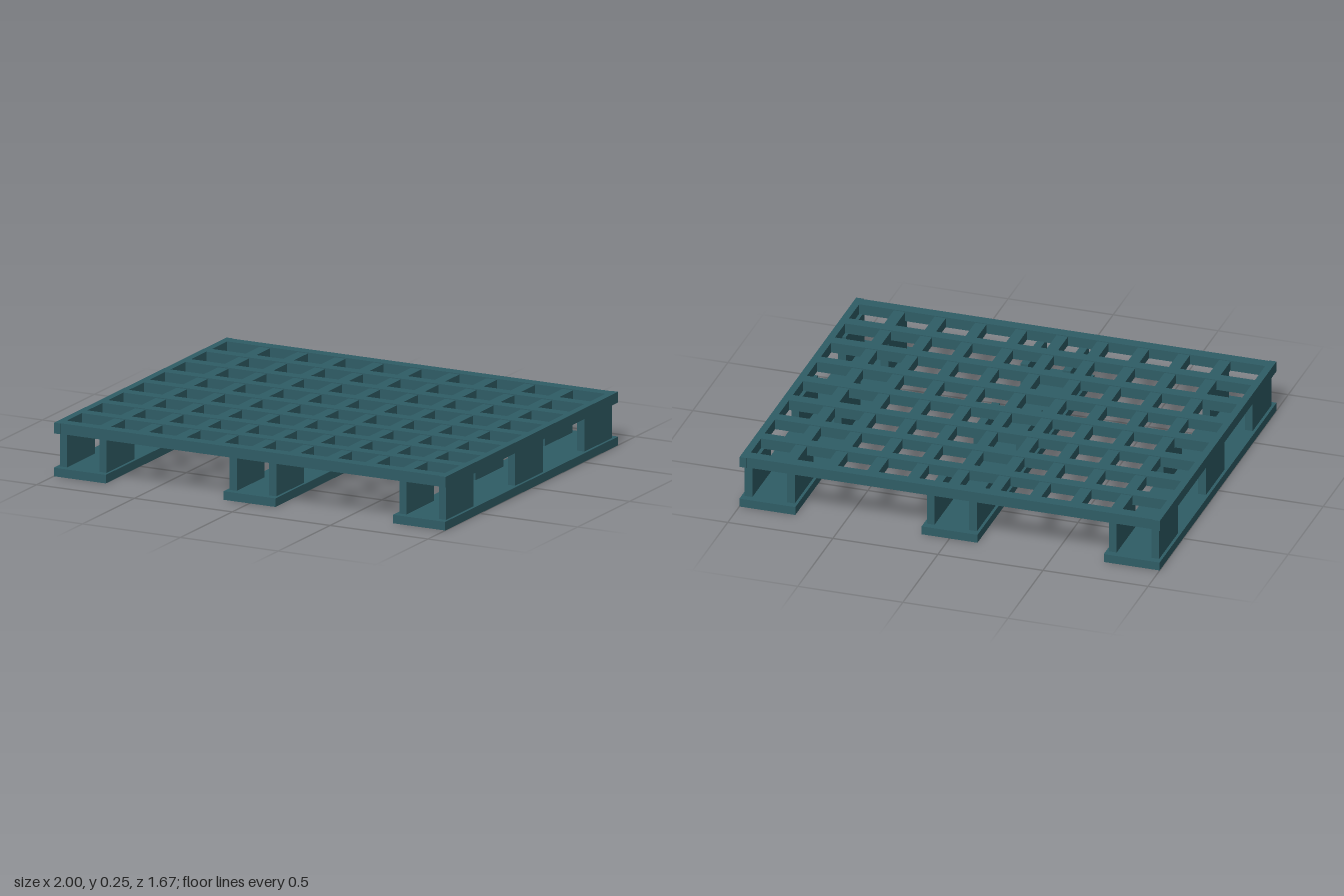
import * as THREE from 'three';

export function createModel() {
  const pallet = new THREE.Group();
  pallet.name = 'pallet';
  const teal = new THREE.MeshStandardMaterial({ color: 0x2f5d66 });
  teal.name = 'dark teal plastic';

  // Box given by its centre in x and z, and its bottom and top heights
  function box(name, x, z, width, depth, bottom, top) {
    const mesh = new THREE.Mesh(new THREE.BoxGeometry(width, top - bottom, depth), teal);
    mesh.name = name;
    mesh.position.set(x, (bottom + top) / 2, z);
    pallet.add(mesh);
  }

  // Deck: nine crossbars over nine lengthwise ribs
  for (let i = -4; i <= 4; i++) {
    box('crossbar', 0, i * 0.2, 1.934, 0.054, 0.2, 0.25);
    box('lengthwiseRib', i * 0.1935, 0, 0.054, 1.65, 0.202, 0.246);
  }

  // Side rails closing the deck
  for (const side of [-1, 1]) {
    box('sideRail', side * 0.983, 0, 0.034, 1.664, 0.2, 0.25);
  }

  // Three runners, each with three pairs of upright walls
  for (const x of [-0.867, 0, 0.867]) {
    box('runner', x, 0, 0.266, 1.668, 0, 0.04);
    for (const z of [-0.667, 0, 0.667]) {
      for (const side of [-1, 1]) {
        box('supportWall', x + side * 0.101, z, 0.037, 0.267, 0.04, 0.202);
      }
    }
  }

  return pallet;
}
